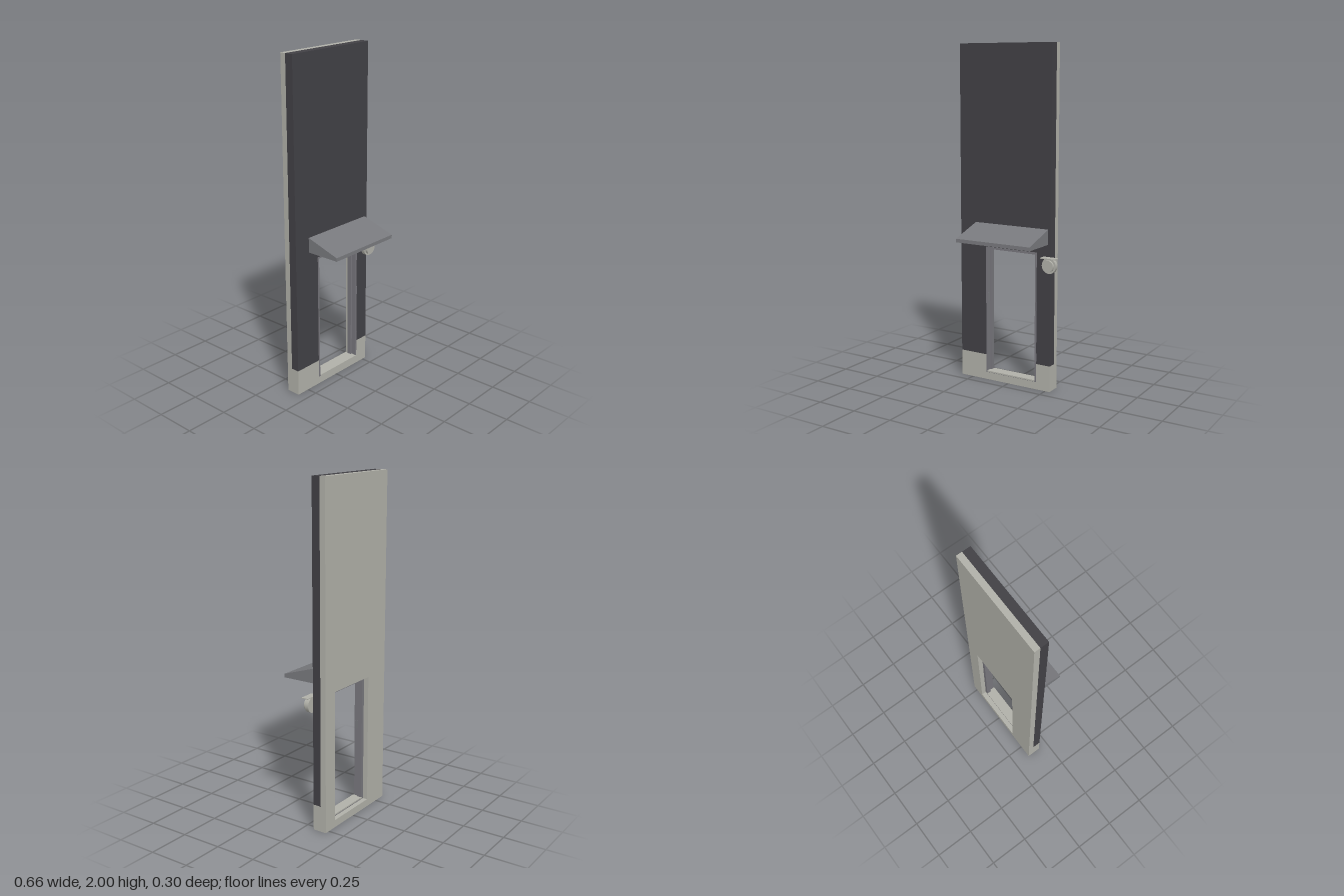
import * as THREE from 'three';

const mat = (name, color) => {
  const m = new THREE.MeshStandardMaterial({ color });
  m.name = name;
  return m;
};

export function createModel() {
  const group = new THREE.Group();
  const stone = mat('pale stone', 0xb0b0a8);
  const cladding = mat('charcoal cladding', 0x414045);
  const canopyGrey = mat('canopy grey', 0x78797d);
  const frameGrey = mat('frame grey', 0x77767c);

  const add = (name, geometry, material, x = 0, y = 0, z = 0) => {
    const mesh = new THREE.Mesh(geometry, material);
    mesh.name = name;
    mesh.position.set(x, y, z);
    group.add(mesh);
    return mesh;
  };
  // Box given by its lower and upper corners
  const block = (name, material, x0, x1, y0, y1, z0, z1) =>
    add(name, new THREE.BoxGeometry(x1 - x0, y1 - y0, z1 - z0), material,
      (x0 + x1) / 2, (y0 + y1) / 2, (z0 + z1) / 2);
  const polygon = (points) => new THREE.Shape(points.map(([x, y]) => new THREE.Vector2(x, y)));
  const rect = (x0, x1, y0, y1) => polygon([[x0, y0], [x1, y0], [x1, y1], [x0, y1]]);
  const slab = (name, shape, material, z0, z1) =>
    add(name, new THREE.ExtrudeGeometry(shape, { depth: z1 - z0, bevelEnabled: false }), material, 0, 0, z0);

  // Wall extents, doorway and layer depths
  const L = -0.33, R = 0.28, baseTop = 0.155;
  const dl = -0.153, dr = 0.19, db = 0.045, dt = 0.82;
  const back = -0.148, seam = -0.113, front = -0.063;

  // Rear wall with the doorway cut through
  const rear = rect(L, R, 0, 2);
  rear.holes.push(rect(dl, dr, db, dt));
  slab('rearWall', rear, stone, back, seam);

  // Front layer: pale plinth below, dark cladding above
  slab('plinth', polygon([[L, 0], [R, 0], [R, baseTop], [dr, baseTop], [dr, db],
    [dl, db], [dl, baseTop], [L, baseTop]]), stone, seam, front);
  slab('cladding', polygon([[L, baseTop], [dl, baseTop], [dl, dt], [dr, dt],
    [dr, baseTop], [R, baseTop], [R, 2], [L, 2]]), cladding, seam, front);

  // Door frame: outer lining and a narrower rebate stop behind it
  const ring = (name, t, z0, z1) => {
    const shape = rect(dl, dr, db, dt);
    shape.holes.push(rect(dl + t, dr - t, db + 0.008, dt - t));
    slab(name, shape, frameGrey, z0, z1);
  };
  ring('frameLining', 0.01, -0.09, front + 0.002);
  ring('frameStop', 0.02, -0.118, -0.09);
  block('threshold', stone, dl + 0.01, dr - 0.01, db + 0.004, db + 0.012, -0.118, -0.055);

  // Hinges on one jamb, strike plate on the other
  for (const y of [0.195, 0.5, 0.775])
    add('hinge', new THREE.CylinderGeometry(0.003, 0.003, 0.05, 10), frameGrey, dr - 0.001, y, front + 0.002);
  block('strikePlate', canopyGrey, dl + 0.009, dl + 0.012, 0.49, 0.54, -0.085, -0.068);

  // Wedge canopy: profile in (depth, height), swept across x
  const wedge = new THREE.ExtrudeGeometry(
    polygon([[-front, 0.872], [-front, 0.96], [-0.147, 0.893], [-0.147, 0.872]]),
    { depth: 0.487, bevelEnabled: false });
  wedge.rotateY(Math.PI / 2);
  add('canopy', wedge, canopyGrey, -0.225);

  // Round wall lamp with a stepped face and a small rain hood
  const disc = (name, r, z0, z1) => {
    const g = new THREE.CylinderGeometry(r, r, z1 - z0, 32);
    g.rotateX(Math.PI / 2);
    add(name, g, stone, 0.28, 0.755, (z0 + z1) / 2);
  };
  disc('lampBase', 0.045, front, -0.04);
  disc('lampFace', 0.034, -0.04, -0.026);
  block('lampHood', stone, 0.235, 0.328, 0.797, 0.802, front, -0.02);

  return group;
}
